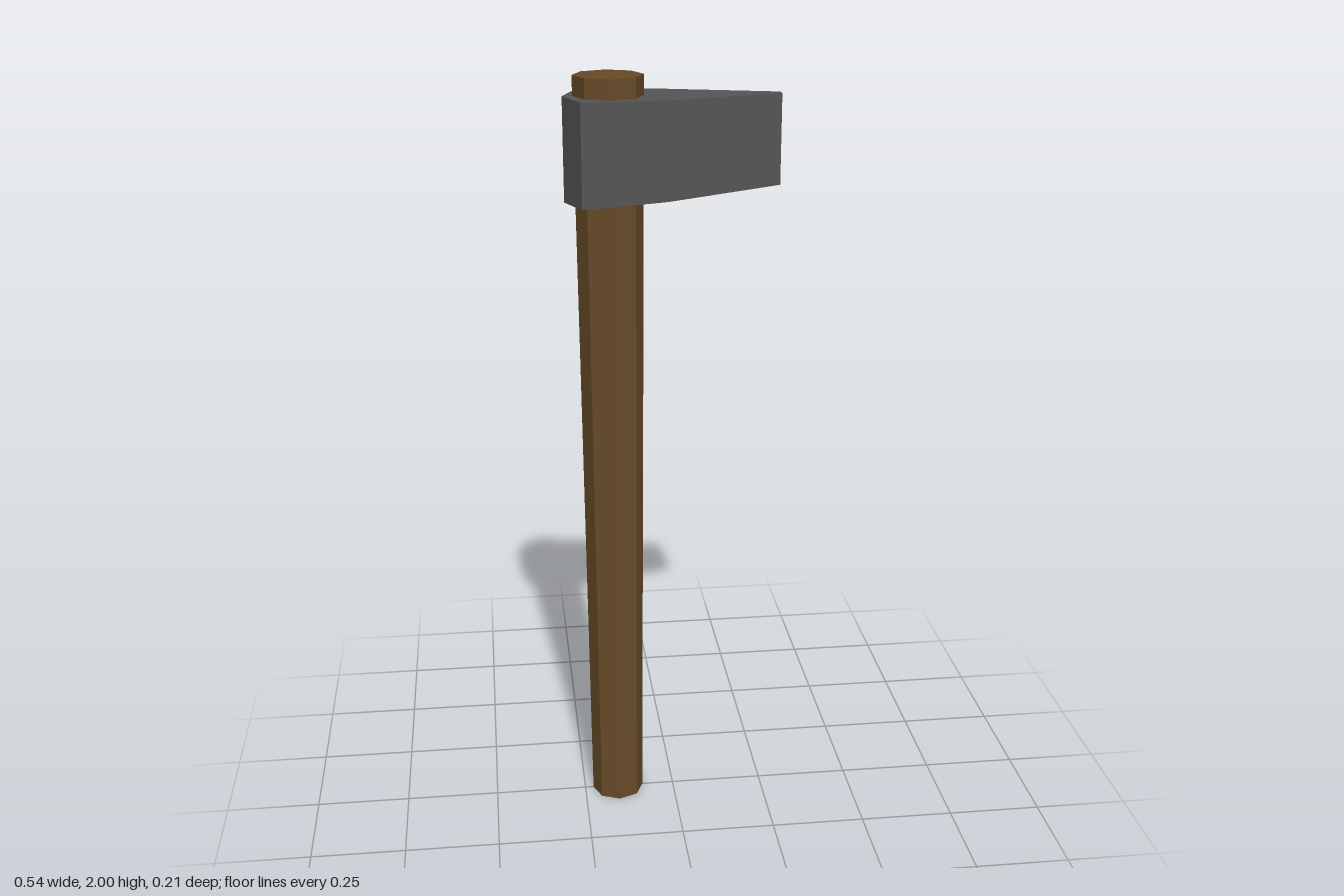
import * as THREE from 'three';

const HANDLE_X = -0.157;
const TOP = 1.95;

// Lower face of the head rises gently towards the cutting edge
const undersideY = (x) => 1.69 + 0.034 * (x + 0.27) / 0.54;

export function createModel() {
  const model = new THREE.Group();
  model.name = 'axe';
  const wood = new THREE.MeshStandardMaterial({ color: 0x664a28, flatShading: true });
  const steel = new THREE.MeshStandardMaterial({ color: 0x555555, flatShading: true });

  // Octagonal handle, slightly thicker at the head
  const handle = new THREE.Mesh(new THREE.CylinderGeometry(0.088, 0.07, 2, 8), wood);
  handle.name = 'handle';
  handle.position.set(HANDLE_X, 1, 0);
  model.add(handle);

  // Wedge-shaped head: half outline from poll to edge, mirrored across z
  const half = [[-0.232, 0.106], [-0.022, 0.097], [0.27, 0.013]];
  const outline = [
    [-0.27, 0],
    ...half.map(([x, z]) => [x, -z]),
    ...half.slice().reverse(),
  ].map(([x, z]) => new THREE.Vector2(x, z));
  const geometry = new THREE.ExtrudeGeometry(new THREE.Shape(outline), { depth: 1, bevelEnabled: false });
  geometry.rotateX(-Math.PI / 2);
  const p = geometry.attributes.position;
  for (let i = 0; i < p.count; i++) {
    p.setY(i, p.getY(i) > 0.5 ? TOP : undersideY(p.getX(i)));
  }
  geometry.computeVertexNormals();
  const head = new THREE.Mesh(geometry, steel);
  head.name = 'head';
  model.add(head);

  return model;
}
